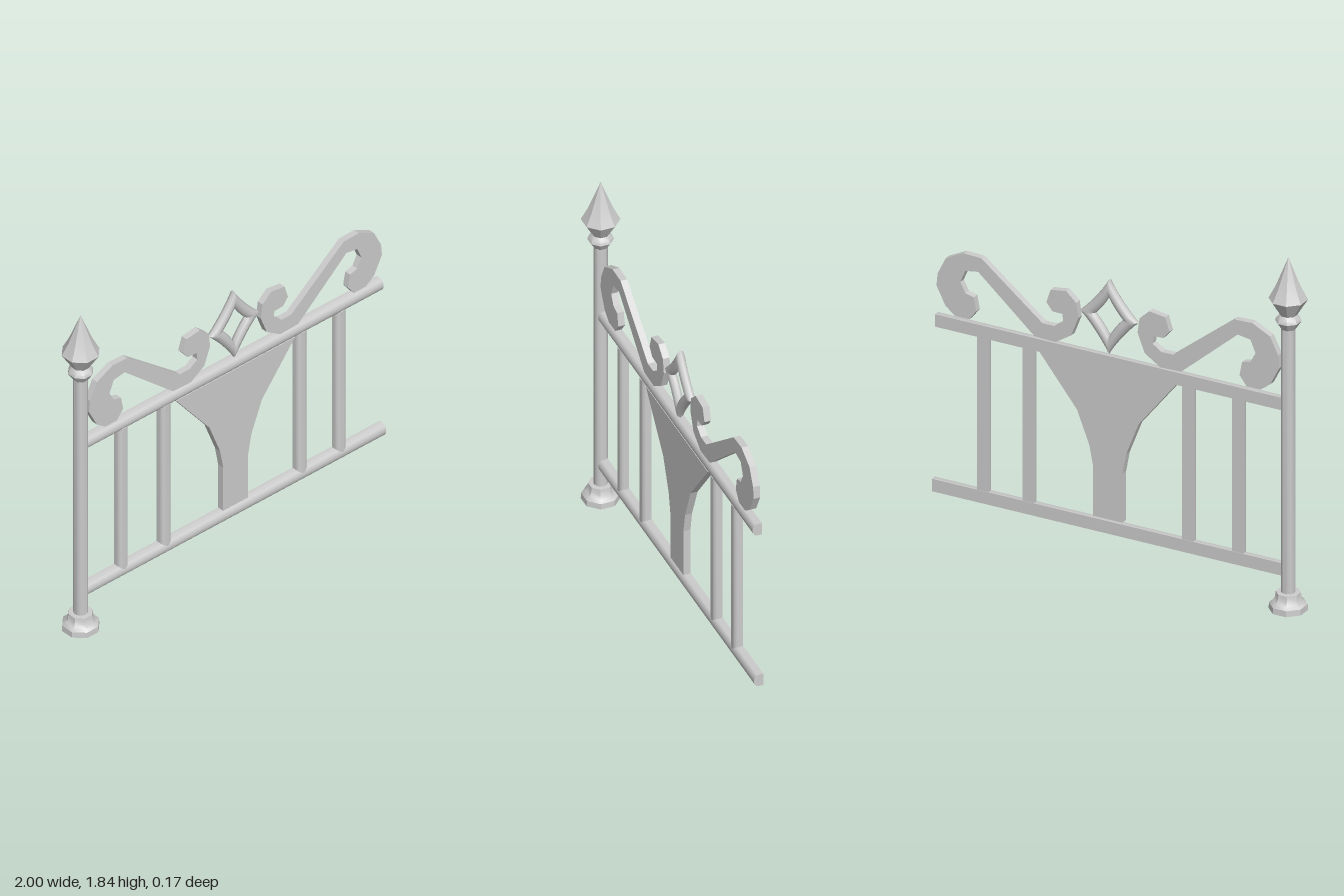
import * as THREE from 'three';
import { toCreasedNormals } from 'three/addons/utils/BufferGeometryUtils.js';

const material = new THREE.MeshStandardMaterial({ color: 0xcccccc });
const MID = 0.053; // x of the panel's axis of symmetry

export function createModel() {
  const group = new THREE.Group();
  group.name = 'fencePanel';

  const add = (name, geometry, x = 0, y = 0, z = 0) => {
    const mesh = new THREE.Mesh(geometry, material);
    mesh.name = name;
    mesh.position.set(x, y, z);
    group.add(mesh);
    return mesh;
  };

  const turned = (points, sides) => toCreasedNormals(
    new THREE.LatheGeometry(points.map(([r, y]) => new THREE.Vector2(r, y)), sides, Math.PI / sides), 0.6);

  // Flat plate cut from an outline, centred on z = 0
  const plate = (points, depth) => {
    const shape = new THREE.Shape(points.map(([x, y]) => new THREE.Vector2(x, y)));
    return new THREE.ExtrudeGeometry(shape, { depth, bevelEnabled: false }).translate(0, 0, -depth / 2);
  };

  // Upright bar with a flat back and rounded front, starting at y = 0
  const bar = (length, width, halfDepth) => {
    const w = width / 2;
    const shape = new THREE.Shape();
    shape.moveTo(-w, halfDepth);
    shape.lineTo(-w, 0);
    shape.absellipse(0, 0, w, halfDepth, Math.PI, 2 * Math.PI, false);
    shape.lineTo(w, halfDepth);
    shape.closePath();
    const geometry = new THREE.ExtrudeGeometry(shape, { depth: length, bevelEnabled: false, curveSegments: 5 });
    return toCreasedNormals(geometry.rotateX(-Math.PI / 2), 0.8);
  };

  // Post with stepped foot, collar and spear finial
  const postX = -0.912;
  add('postFoot', turned([[0, 0], [0.094, 0], [0.092, 0.03], [0.078, 0.043], [0.064, 0.06], [0.06, 0.09], [0, 0.095]], 8), postX);
  add('post', turned([[0.035, 0.08], [0.035, 1.49]], 12), postX);
  add('postCollar', turned([[0, 1.465], [0.036, 1.465], [0.063, 1.505], [0.058, 1.52], [0.04, 1.54], [0, 1.54]], 8), postX);
  add('postFinial', turned([[0, 1.535], [0.04, 1.535], [0.094, 1.62], [0.06, 1.685], [0.032, 1.755], [0, 1.835]], 8), postX);

  // Rails, running from the post to the free end
  for (const [name, y, end] of [['bottomRail', 0.21, 1.0], ['topRail', 1.073, 0.983]]) {
    const start = -0.885;
    add(name, bar(end - start, 0.065, 0.024).rotateZ(-Math.PI / 2), start, y);
  }

  // Balusters
  for (const x of [-0.65, -0.38, 0.48, 0.727]) add('baluster', bar(0.83, 0.061, 0.022), x, 0.22);

  // Funnel-shaped centre panel
  const halfPanel = [[0.375, 1.045], [0.166, 0.783], [0.099, 0.612], [0.079, 0.505], [0.079, 0.25]];
  const panel = [...halfPanel, ...halfPanel.map(([x, y]) => [-x, y]).reverse()];
  add('centrePanel', plate(panel, 0.036), MID);

  // S-scrolls: large curl at the outside, small curl beside the diamond
  const scroll = [
    [0.684, 1.452], [0.78, 1.455], [0.876, 1.407], [0.92, 1.318], [0.926, 1.254], [0.877, 1.158],
    [0.824, 1.118], [0.749, 1.118], [0.711, 1.168], [0.724, 1.238], [0.77, 1.25], [0.797, 1.302],
    [0.77, 1.366], [0.701, 1.377], [0.396, 1.112], [0.283, 1.108], [0.198, 1.163], [0.16, 1.262],
    [0.171, 1.338], [0.225, 1.387], [0.31, 1.375], [0.332, 1.305], [0.3, 1.265], [0.246, 1.263],
    [0.241, 1.222], [0.289, 1.19], [0.353, 1.19],
  ];
  for (const side of [-1, 1]) {
    add(side < 0 ? 'rightScroll' : 'leftScroll', plate(scroll.map(([x, y]) => [side * x, y]), 0.034), MID);
  }

  // Rounded diamond ring: a torus remapped to four pointed corners
  const diamond = new THREE.TorusGeometry(1, 0.3, 8, 32);
  const position = diamond.attributes.position;
  const pointed = (value) => Math.sign(value) * Math.abs(value) ** 2.25;
  for (let i = 0; i < position.count; i++) {
    const x = position.getX(i), y = position.getY(i);
    const radius = Math.hypot(x, y);
    const k = (radius - 1) / 0.3;
    position.setXYZ(i,
      pointed(x / radius) * (0.117 + 0.041 * k),
      pointed(y / radius) * (0.149 + 0.047 * k),
      position.getZ(i) / 0.3 * 0.024);
  }
  add('diamondRing', toCreasedNormals(diamond, 1.0), MID, 1.303);

  return group;
}
